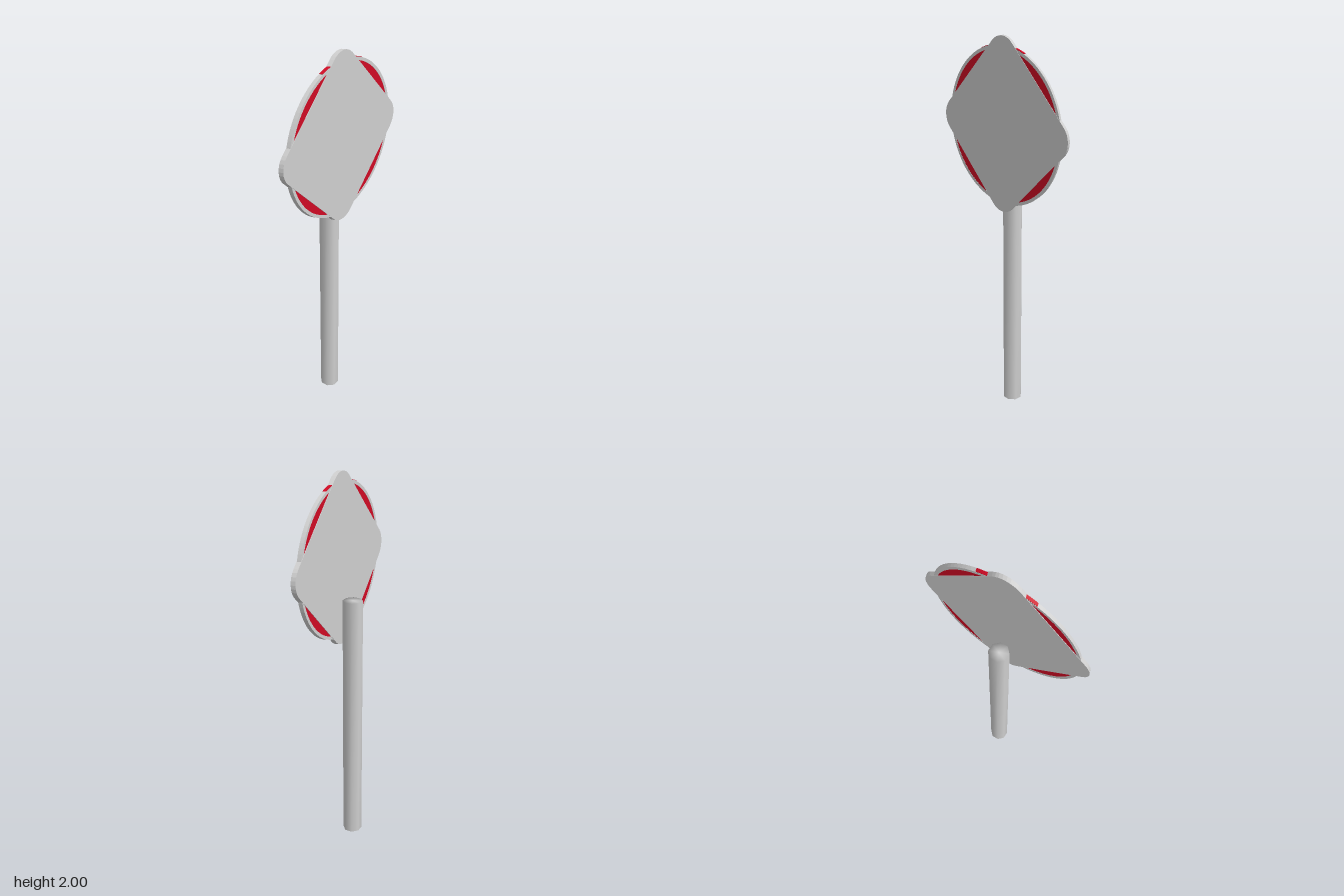
import * as THREE from 'three';
import { mergeVertices } from 'three/addons/utils/BufferGeometryUtils.js';

const CY = 1.565; // height of the sign centre
const CZ = 0.05;  // depth of the sign centre

export function createModel() {
  const model = new THREE.Group();
  const grey = new THREE.MeshStandardMaterial({ color: 0xcfcfcf });
  grey.name = 'galvanised grey';
  const red = new THREE.MeshStandardMaterial({ color: 0xcf0a24 });
  red.name = 'reflector red';

  function add(name, geometry, material, parent = model) {
    const mesh = new THREE.Mesh(geometry, material);
    mesh.name = name;
    parent.add(mesh);
    return mesh;
  }

  // Octagonal post, normals blended across all edges
  let post = new THREE.CylinderGeometry(0.0514, 0.0514, 1.37, 8, 1, false, Math.PI / 8);
  post.deleteAttribute('normal');
  post.deleteAttribute('uv');
  post = mergeVertices(post);
  post.computeVertexNormals();
  post.translate(-0.005, 0.685, -0.0175);
  add('post', post, grey);

  const sign = new THREE.Group();
  sign.name = 'sign';
  model.add(sign);

  // Extrude a flat outline around the sign centre; the back leans slightly sideways
  const lean = new THREE.Matrix4().set(
    1, 0, 0.35, -0.001,
    0, 1, 0, CY,
    0, 0, 1, CZ,
    0, 0, 0, 1);
  function plate(shape, depth) {
    const geo = new THREE.ExtrudeGeometry(shape, { depth, bevelEnabled: false, curveSegments: 48 });
    return geo.translate(0, 0, -depth / 2).applyMatrix4(lean);
  }

  // Diamond plate with rounded corners
  const diamond = new THREE.Shape();
  const r = 0.097, c = 0.435 - r;
  for (let i = 0; i < 4; i++) {
    const a = i * Math.PI / 2;
    for (let j = 0; j <= 8; j++) {
      const t = a - Math.PI / 4 + (j / 8) * Math.PI / 2;
      const x = Math.cos(a) * c + Math.cos(t) * r;
      const y = Math.sin(a) * c + Math.sin(t) * r;
      if (i + j === 0) diamond.moveTo(x, y); else diamond.lineTo(x, y);
    }
  }
  diamond.closePath();
  add('diamondPlate', plate(diamond, 0.021), grey, sign);

  // Red disc behind the diamond, visible as four segments
  const disc = new THREE.Shape().absarc(0, 0, 0.377, 0, Math.PI * 2, false);
  add('redDisc', plate(disc, 0.016), red, sign);

  // Grey rim around the disc
  const rim = new THREE.Shape().absarc(0, 0, 0.392, 0, Math.PI * 2, false);
  rim.holes.push(new THREE.Path().absarc(0, 0, 0.376, 0, Math.PI * 2, true));
  add('rim', plate(rim, 0.018), grey, sign);

  // Small red patches on the upper edge of the rim
  for (const side of [1, -1]) {
    const mid = Math.PI / 2 - side * 0.285, half = 0.1;
    const patch = new THREE.Shape();
    patch.absarc(0, 0, 0.394, mid - half, mid + half, false);
    patch.absarc(0, 0, 0.391, mid + half, mid - half, true);
    patch.closePath();
    add(side > 0 ? 'leftRimPatch' : 'rightRimPatch', plate(patch, 0.016), red, sign);
  }

  return model;
}
